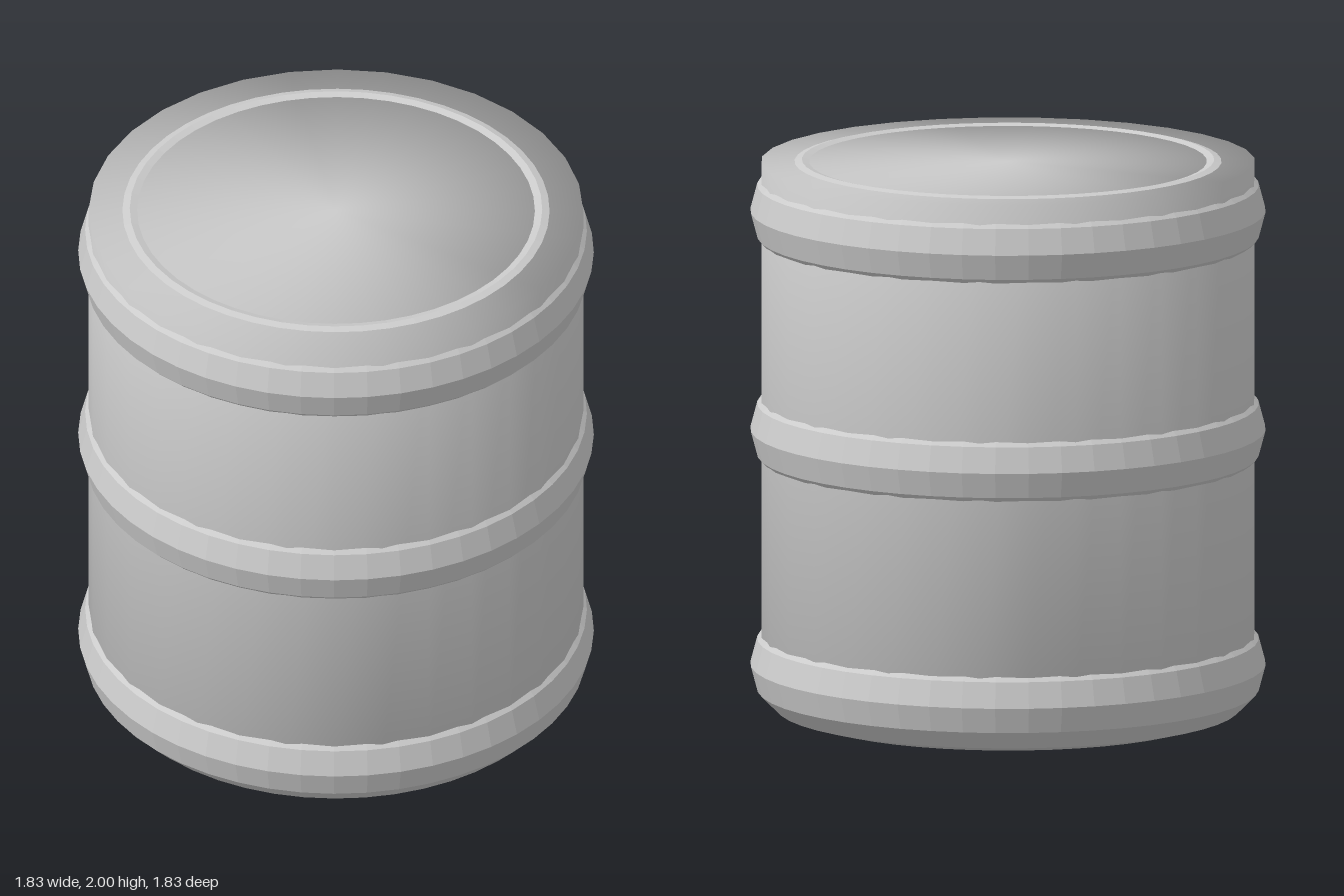
import * as THREE from 'three';
import { mergeVertices } from 'three/addons/utils/BufferGeometryUtils.js';

const BOTTOM = 0.2, TOP = 1.993;

export function createModel() {
  const barrel = new THREE.Group();
  barrel.name = 'barrel';

  // Drum body: welded cylinder, so the shading rolls softly over the rims
  let drum = new THREE.CylinderGeometry(0.878, 0.878, TOP - BOTTOM, 32);
  drum.deleteAttribute('uv');
  drum.deleteAttribute('normal');
  drum = mergeVertices(drum);
  drum.computeVertexNormals();
  const body = new THREE.Mesh(drum, new THREE.MeshStandardMaterial({ color: 0xcccccc }));
  body.name = 'drumBody';
  body.position.y = (BOTTOM + TOP) / 2;
  barrel.add(body);

  // Three faceted hoops: base, middle and top
  const hoop = new THREE.TorusGeometry(0.732, 0.183, 12, 48).rotateX(Math.PI / 2);
  const hoopMaterial = new THREE.MeshStandardMaterial({ color: 0xcccccc, flatShading: true });
  for (const [name, y] of [['baseHoop', 0.183], ['middleHoop', 1.03], ['topHoop', 1.817]]) {
    const ring = new THREE.Mesh(hoop, hoopMaterial);
    ring.name = name;
    ring.position.y = y;
    barrel.add(ring);
  }
  return barrel;
}
